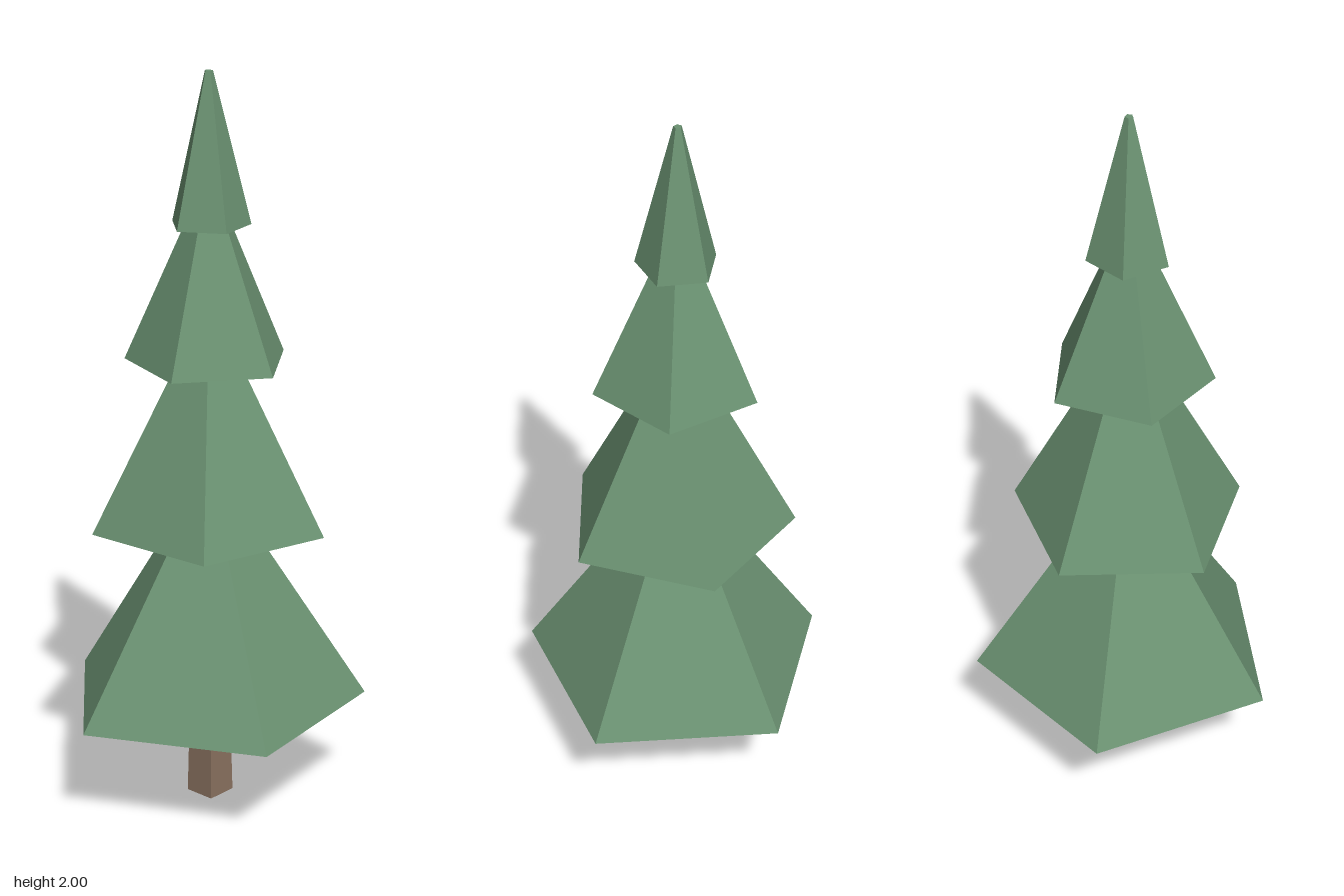
import * as THREE from 'three';

const TRUNK_X = -0.041;

// Faceted tapered prism; angle is the direction of one corner from +x towards +z
function taperedPrism(name, material, { sides, y, height, bottom, top, angle }) {
  const geometry = new THREE.CylinderGeometry(
    top, bottom, height, sides, 1, false, Math.PI / 2 - THREE.MathUtils.degToRad(angle)
  ).toNonIndexed();
  geometry.computeVertexNormals(); // flat facets
  const mesh = new THREE.Mesh(geometry, material);
  mesh.name = name;
  mesh.position.set(TRUNK_X, y + height / 2, 0);
  return mesh;
}

export function createModel() {
  const needles = new THREE.MeshStandardMaterial({ color: 0x6b9272 });
  needles.name = 'needle green';
  const bark = new THREE.MeshStandardMaterial({ color: 0x8a7260 });
  bark.name = 'bark brown';

  const tree = new THREE.Group();
  tree.name = 'pineTree';

  // Square trunk, one corner facing front
  tree.add(taperedPrism('trunk', bark, { sides: 4, y: 0, height: 0.4, bottom: 0.062, top: 0.051, angle: 0 }));

  // Four five-sided tiers of branches, each twisted differently
  const tiers = [
    { y: 0.285, height: 0.6, bottom: 0.425, angle: 0 },
    { y: 0.783, height: 0.56, bottom: 0.322, angle: 22.8 },
    { y: 1.235, height: 0.46, bottom: 0.225, angle: -26.3 },
    { y: 1.6, height: 0.4, bottom: 0.11, angle: -3.8 },
  ];
  tiers.forEach((tier, i) => {
    tree.add(taperedPrism(`branchTier${i + 1}`, needles, { sides: 5, top: tier.bottom * 0.1, ...tier }));
  });

  return tree;
}
